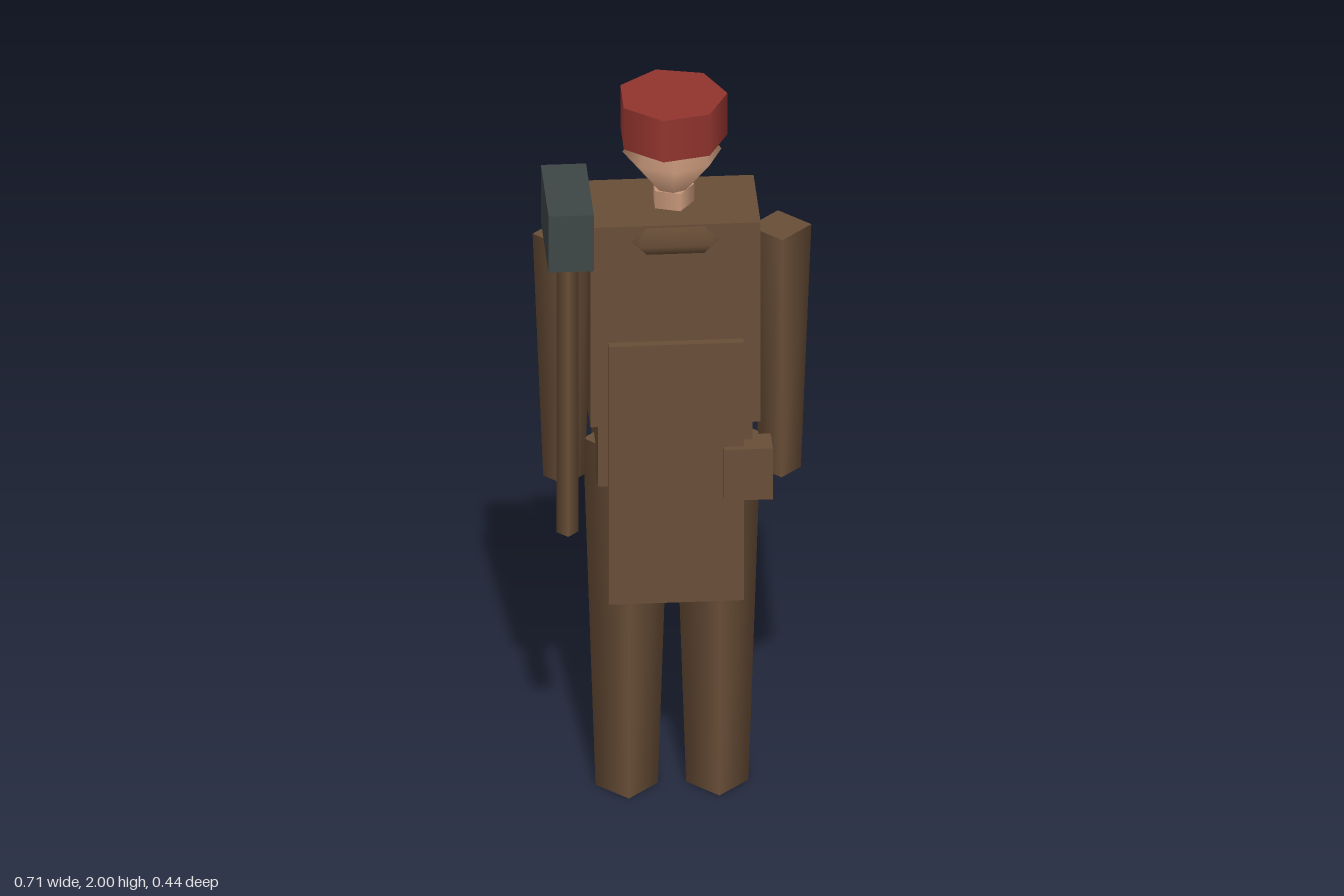
import * as THREE from 'three';

export function createModel() {
  const model = new THREE.Group();
  model.name = 'worker';
  const mat = (name, color) => {
    const m = new THREE.MeshStandardMaterial({ color });
    m.name = name;
    return m;
  };
  const leather = mat('brown leather', 0x694e37);
  const skin = mat('skin', 0xc8987a);
  const red = mat('red cloth', 0x92342e);
  const iron = mat('dark iron', 0x3e4646);
  const Z = -0.06; // depth of the body's centre line

  const add = (name, geometry, material, x, y, z) => {
    const mesh = new THREE.Mesh(geometry, material);
    mesh.name = name;
    mesh.position.set(x, y, z);
    model.add(mesh);
    return mesh;
  };
  const box = (name, material, w, h, d, x, y, z) =>
    add(name, new THREE.BoxGeometry(w, h, d), material, x, y, z);
  // tapered low-sided column from y0 to y1, with one corner pointing to +x
  const column = (name, material, rTop, rBottom, sides, x, y0, y1, z) =>
    add(name, new THREE.CylinderGeometry(rTop, rBottom, y1 - y0, sides, 1, false, Math.PI / 2),
      material, x, (y0 + y1) / 2, z);

  // torso and hips
  box('torso', leather, 0.436, 0.58, 0.254, 0, 1.4, Z);
  box('hips', leather, 0.396, 0.18, 0.23, 0, 1.02, Z);

  // limbs
  for (const [side, s] of [['left', 1], ['right', -1]]) {
    column(side + 'Leg', leather, 0.112, 0.08, 4, s * 0.116, 0, 1.01, Z);
    column(side + 'Arm', leather, 0.08, 0.053, 4, s * 0.277, 0.905, 1.61, Z);
  }

  // collar ring showing through the chest and back
  const collar = add('collar', new THREE.TorusGeometry(0.144, 0.041, 4, 6), leather, 0, 1.645, Z);
  collar.rotation.x = Math.PI / 2;

  // neck, head and cap
  column('neck', skin, 0.057, 0.057, 5, 0, 1.67, 1.74, Z);
  const head = add('head', new THREE.SphereGeometry(0.127, 8, 2), skin, 0, 1.84, Z);
  head.scale.y = 1.25;
  column('cap', red, 0.142, 0.142, 7, 0, 1.88, 2, Z);

  // apron and belt pouch
  box('apron', leather, 0.346, 0.75, 0.022, 0, 0.98, 0.08);
  box('pouch', leather, 0.125, 0.148, 0.08, 0.184, 0.979, 0.068);

  // hammer held on the right side
  column('hammerHandle', leather, 0.028, 0.028, 4, -0.278, 0.815, 1.66, 0.079);
  box('hammerHead', iron, 0.116, 0.163, 0.277, -0.278, 1.728, 0.079);

  return model;
}
